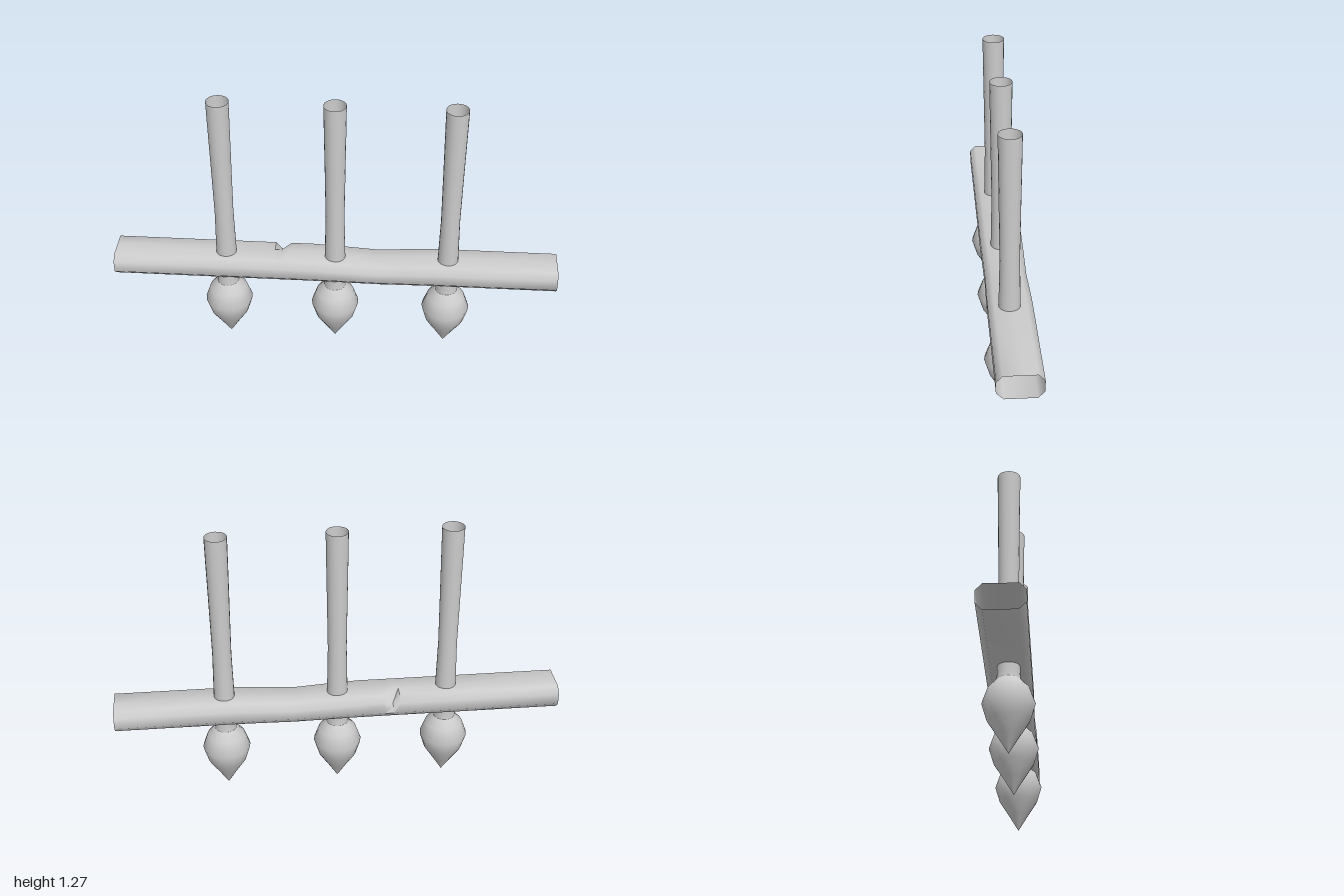
import * as THREE from 'three';
import { toCreasedNormals } from 'three/addons/utils/BufferGeometryUtils.js';

const material = new THREE.MeshStandardMaterial({ color: 0xcccccc, side: THREE.DoubleSide });

// Hollow spear: pointed bulb, neck and a slightly waisted open shaft
function createSpear(x) {
  const head = [[0, 0], [0.045, 0.074], [0.087, 0.14], [0.108, 0.21], [0.085, 0.275], [0.05, 0.312]];
  const shaft = [[0.05, 0.312], [0.047, 0.34], [0.046, 0.5], [0.042, 0.7], [0.045, 0.95], [0.048, 1.17], [0.049, 1.27]];
  const spear = new THREE.Group();
  spear.name = 'spear';
  for (const [name, profile] of [['spearHead', head], ['spearShaft', shaft]]) {
    const points = profile.map(([r, y]) => new THREE.Vector2(r, y));
    const mesh = new THREE.Mesh(new THREE.LatheGeometry(points, 20), material);
    mesh.name = name;
    spear.add(mesh);
  }
  spear.position.x = x;
  return spear;
}

// Open-ended beam lofted through cross-sections along x
function createBeam() {
  // [z, y, notch drop, notch inset], running round the section
  const section = [
    [0.06, 0.372, 0, 0], [0.09, 0.402, 0, 0], [0.09, 0.452, 0, 0], [0.064, 0.48, 0, 0],
    [-0.02, 0.48, 0, 0], [-0.075, 0.48, 0.04, 0], [-0.102, 0.452, 0.025, 0.012],
    [-0.102, 0.402, 0, 0], [-0.075, 0.372, 0, 0],
  ];
  const stations = [-1, -0.6, -0.275, -0.245, -0.205, -0.1, 0.05, 0.2, 0.32, 0.45, 0.7, 1];
  const sag = { '0.05': 0.007, '0.2': 0.015, '0.32': 0.007 };
  const n = section.length;
  const positions = [];
  const indices = [];
  stations.forEach((x, i) => {
    const notch = x === -0.245 ? 1 : 0;
    const drop = sag[String(x)] || 0;
    for (const [z, y, down, inset] of section) {
      const lower = y < 0.43 ? drop * 0.5 : drop;
      positions.push(x, y - lower - notch * down, z + notch * inset + (z < 0 ? drop * 0.3 : -drop * 0.3));
    }
    if (i === 0) return;
    for (let j = 0; j < n; j++) {
      const k = (j + 1) % n;
      const a = (i - 1) * n + j, b = (i - 1) * n + k;
      const c = i * n + j, d = i * n + k;
      indices.push(a, c, d, a, d, b);
    }
  });
  const geometry = new THREE.BufferGeometry();
  geometry.setAttribute('position', new THREE.Float32BufferAttribute(positions, 3));
  geometry.setIndex(indices);
  const beam = new THREE.Mesh(toCreasedNormals(geometry, 0.9), material);
  beam.name = 'crossBeam';
  return beam;
}

export function createModel() {
  const model = new THREE.Group();
  model.name = 'spearBarrier';
  model.add(createBeam());
  for (const x of [-0.495, 0, 0.51]) model.add(createSpear(x));
  return model;
}
